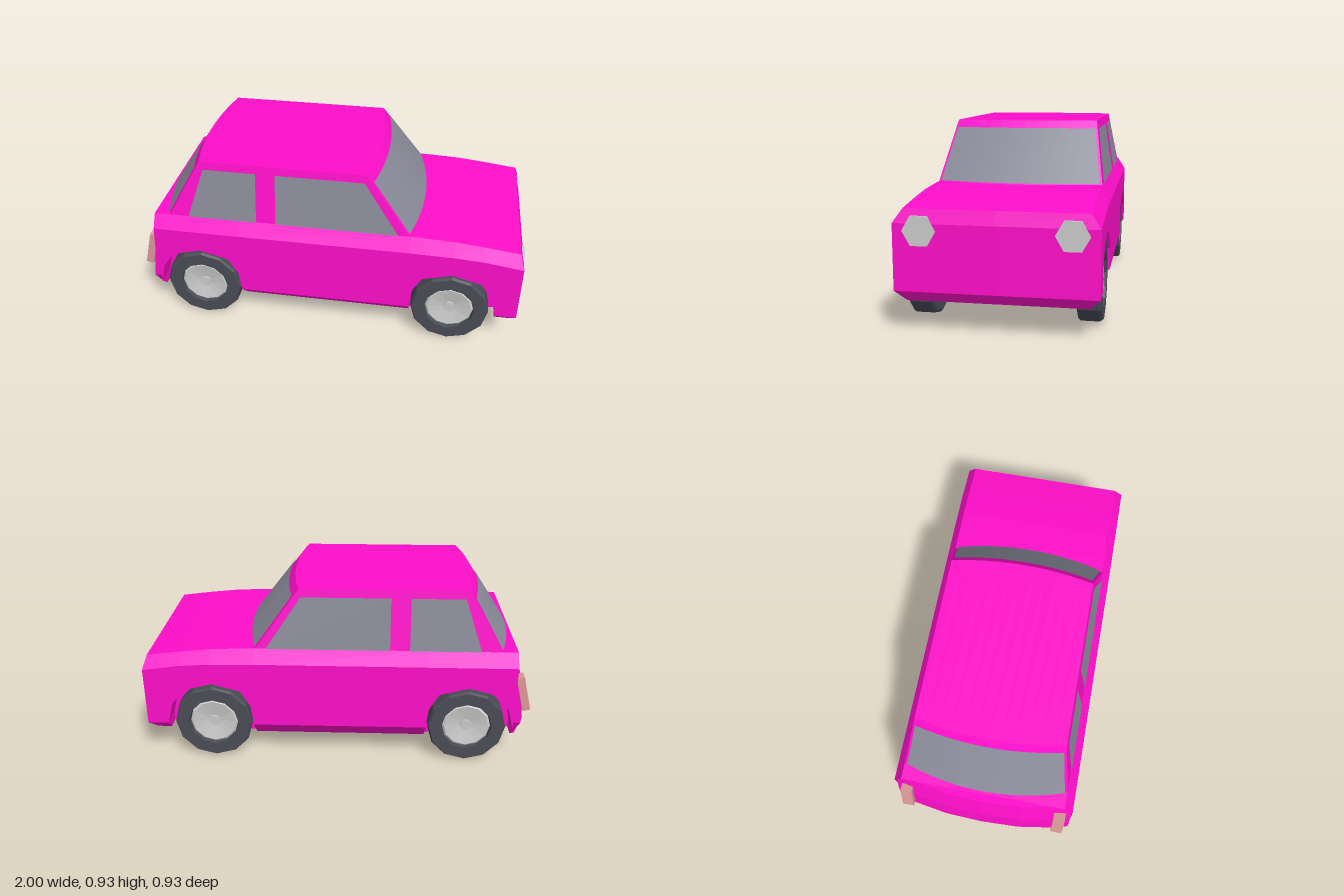
import * as THREE from 'three';

const mat = (color, flat = true) => new THREE.MeshStandardMaterial({ color, flatShading: flat });
const PAINT = mat(0xff0eca), GLASS = mat(0x8a8b99, false), TYRE = mat(0x4a4c55);
const METAL = mat(0xcccccc), TAIL = mat(0xdd9a9a);
const lerp = THREE.MathUtils.lerp;

// piecewise-linear lookup in [[key, value], ...] with rising keys
function table(t, k) {
  if (k <= t[0][0]) return t[0][1];
  for (let i = 1; i < t.length; i++) {
    if (k <= t[i][0]) return lerp(t[i - 1][1], t[i][1], (k - t[i - 1][0]) / (t[i][0] - t[i - 1][0]));
  }
  return t[t.length - 1][1];
}

// skin over rows of points; front side is (next station) x (next row)
function skin(stations) {
  const n = stations[0].length, index = [];
  const pts = stations.flat().map(p => new THREE.Vector3(...p));
  const tri = new THREE.Triangle();
  const add = (a, b, c) => {
    if (tri.set(pts[a], pts[b], pts[c]).getArea() > 1e-7) index.push(a, b, c);
  };
  for (let i = 0; i < stations.length - 1; i++) {
    for (let j = 0; j < n - 1; j++) {
      const a = i * n + j, b = a + n;
      add(a, b, b + 1);
      add(a, b + 1, a + 1);
    }
  }
  const g = new THREE.BufferGeometry().setFromPoints(pts);
  g.setIndex(index);
  g.computeVertexNormals();
  return g;
}
const mirrored = st => st.map(s => s.map(([x, y, z]) => [x, y, -z])).reverse();

// skin sampled from a function of u and t
function patch(fn, u0, u1, nu, t0, t1) {
  const st = [];
  for (let i = 0; i <= nu; i++) {
    const u = lerp(u0, u1, i / nu);
    st.push([fn(u, t0), fn(u, t1)]);
  }
  return skin(st);
}

// body outlines along the car
const FLOOR = [[-0.9, 0.14], [-0.45, 0.095], [0.45, 0.095], [0.9, 0.15]];
const HOOD = [[0.48, 0.62], [0.7, 0.61], [0.98, 0.575]];
const SHOULDER = [[0.43, 0.55], [0.75, 0.545], [1, 0.51]];
const REAR = [[0.14, -0.965], [0.24, -1], [0.4, -0.98], [0.55, -0.935], [0.62, -0.89]];
const NOSE = [[0.15, 0.965], [0.2, 1], [0.51, 1], [0.575, 0.98]];
const ARCH = [[-0.212, 0.21], [-0.2, 0.31], [-0.15, 0.395], [0, 0.435], [0.15, 0.395], [0.21, 0.31], [0.237, 0.2]];
const WHEEL_X = [-0.667, 0.655];

// half cross-section from floor centre, round the side, to the top centre
function section(x, arch) {
  const floor = table(FLOOR, x), b = arch ?? floor;
  const crease = Math.max(b, x < -0.9 ? 0.24 : 0.2), top = table(HOOD, x);
  return [
    [x, floor, 0], [x, floor, 0.34], [x, b, 0.34],
    [x, b, 0.465 - Math.max(0, 0.2 - b)],
    [x, crease, 0.465], [x, Math.max(b, 0.4), 0.465],
    [x, table(SHOULDER, x), 0.465], [x, top, 0.42], [x, top, 0],
  ];
}

function bodyStations() {
  const st = [];
  // rounded tail
  for (const [zMax, off] of [[0, 0], [0.2, 0.01], [0.4, 0.05], [0.465, 0.075]]) {
    st.push(section(-0.95).map(([, y, z]) =>
      [table(REAR, y) + off * (0.75 + 0.5 * (y - 0.14)), y, Math.min(z, zMax)]));
  }
  // wheel arches with vertical end walls
  WHEEL_X.forEach((cx, k) => {
    const pts = k ? ARCH : ARCH.map(([dx, y]) => [-dx, y]).reverse();
    const first = cx + pts[0][0], last = cx + pts[6][0];
    st.push(section(first));
    pts.forEach(([dx, y]) => st.push(section(cx + dx, y)));
    st.push(section(last));
    if (!k) st.push(section(0.43));
  });
  // flat nose
  for (const zMax of [0.465, 0]) {
    st.push(section(1).map(([, y, z]) => [table(NOSE, y), y, Math.min(z, zMax)]));
  }
  return st;
}

// cabin surfaces: u runs across the car, t from belt line to roof
const Y = t => lerp(0.62, 0.925, t), W = t => lerp(0.42, 0.37, t);
const screen = (u, t, d = 0) =>
  [lerp(0.42, 0.2, t) + lerp(0.06, 0.04, t) * (1 - u * u) + d, Y(t) + d * 0.7, u * W(t)];
const hatch = (u, t, d = 0) =>
  [lerp(-0.82, -0.65, t) - lerp(0.07, 0.04, t) * (1 - u * u) - d, Y(t) + d * 0.7, u * W(t)];
const roof = (u, t) => [lerp(hatch(u, 1)[0], screen(u, 1)[0], t), 0.925, u * W(1)];

function makeWheel() {
  const g = new THREE.Group();
  const spin = (pts, m, name) => {
    const geo = new THREE.LatheGeometry(pts.map(p => new THREE.Vector2(...p)), 12);
    geo.rotateX(Math.PI / 2);
    const mesh = new THREE.Mesh(geo, m);
    mesh.name = name;
    g.add(mesh);
  };
  spin([[0, -0.057], [0.19, -0.057], [0.203, -0.045], [0.203, 0.045], [0.195, 0.057], [0.13, 0.057], [0.125, 0.035]], TYRE, 'tyre');
  spin([[0.128, 0.035], [0.115, 0.045], [0.03, 0.03], [0.03, 0.04], [0, 0.04]], METAL, 'hubcap');
  return g;
}

export function createModel() {
  const car = new THREE.Group();
  car.name = 'car';
  const add = (geo, m, name) => {
    const mesh = new THREE.Mesh(geo, m);
    mesh.name = name;
    car.add(mesh);
    return mesh;
  };

  // lower body
  const half = bodyStations();
  add(skin(half), PAINT, 'bodyLeft');
  add(skin(mirrored(half)), PAINT, 'bodyRight');

  // cabin shell
  add(patch(screen, 1, -1, 12, 0, 1), PAINT, 'windscreenFrame');
  add(patch(hatch, -1, 1, 12, 0, 1), PAINT, 'rearWindowFrame');
  add(patch(roof, -1, 1, 12, 0, 1), PAINT, 'roof');

  // front and rear glass
  add(patch((u, t) => screen(u, t, 0.004), 0.97, -0.97, 12, 0.01, 0.87), GLASS, 'windscreen');
  add(patch((u, t) => hatch(u, t, 0.004), -0.97, 0.97, 12, 0.01, 0.87), GLASS, 'rearWindow');

  // side panels and side windows, given as [bottom x, top x] edges
  const sidePane = (rear, front, t, d) => [rear, front].map(e =>
    [[e[0], Y(0), W(0) + d], [e[1], Y(t), W(t) + d]]);
  const panes = [
    ['cabinSide', PAINT, sidePane([-0.82, -0.65], [0.42, 0.2], 1, 0)],
    ['rearSideWindow', GLASS, sidePane([-0.72, -0.63], [-0.36, -0.36], 0.87, 0.004)],
    ['frontSideWindow', GLASS, sidePane([-0.26, -0.26], [0.37, 0.19], 0.87, 0.004)],
  ];
  for (const [name, m, st] of panes) {
    add(skin(st), m, name + 'Left');
    add(skin(mirrored(st)), m, name + 'Right');
  }

  for (const s of [1, -1]) {
    const side = s > 0 ? 'Left' : 'Right';
    // six-sided headlight
    const lamp = new THREE.CylinderGeometry(0.078, 0.078, 0.012, 6);
    lamp.rotateZ(-Math.PI / 2).rotateX(Math.PI / 2);
    // point the corners sideways
    lamp.computeBoundingBox();
    if (lamp.boundingBox.max.y > lamp.boundingBox.max.z) lamp.rotateX(Math.PI / 2);
    add(lamp, METAL, 'headlight' + side).position.set(0.996, 0.477, 0.343 * s);

    // leaning tail light
    const tail = add(new THREE.BoxGeometry(0.04, 0.19, 0.06), TAIL, 'tailLight' + side);
    tail.position.set(-0.948, 0.39, 0.405 * s);
    tail.rotation.z = -0.24;

    // wheels
    WHEEL_X.forEach((x, k) => {
      const wheel = makeWheel();
      wheel.name = (k ? 'front' : 'rear') + 'Wheel' + side;
      wheel.position.set(x, 0.203, 0.398 * s);
      if (s < 0) wheel.rotation.y = Math.PI;
      car.add(wheel);
    });
  }
  return car;
}
